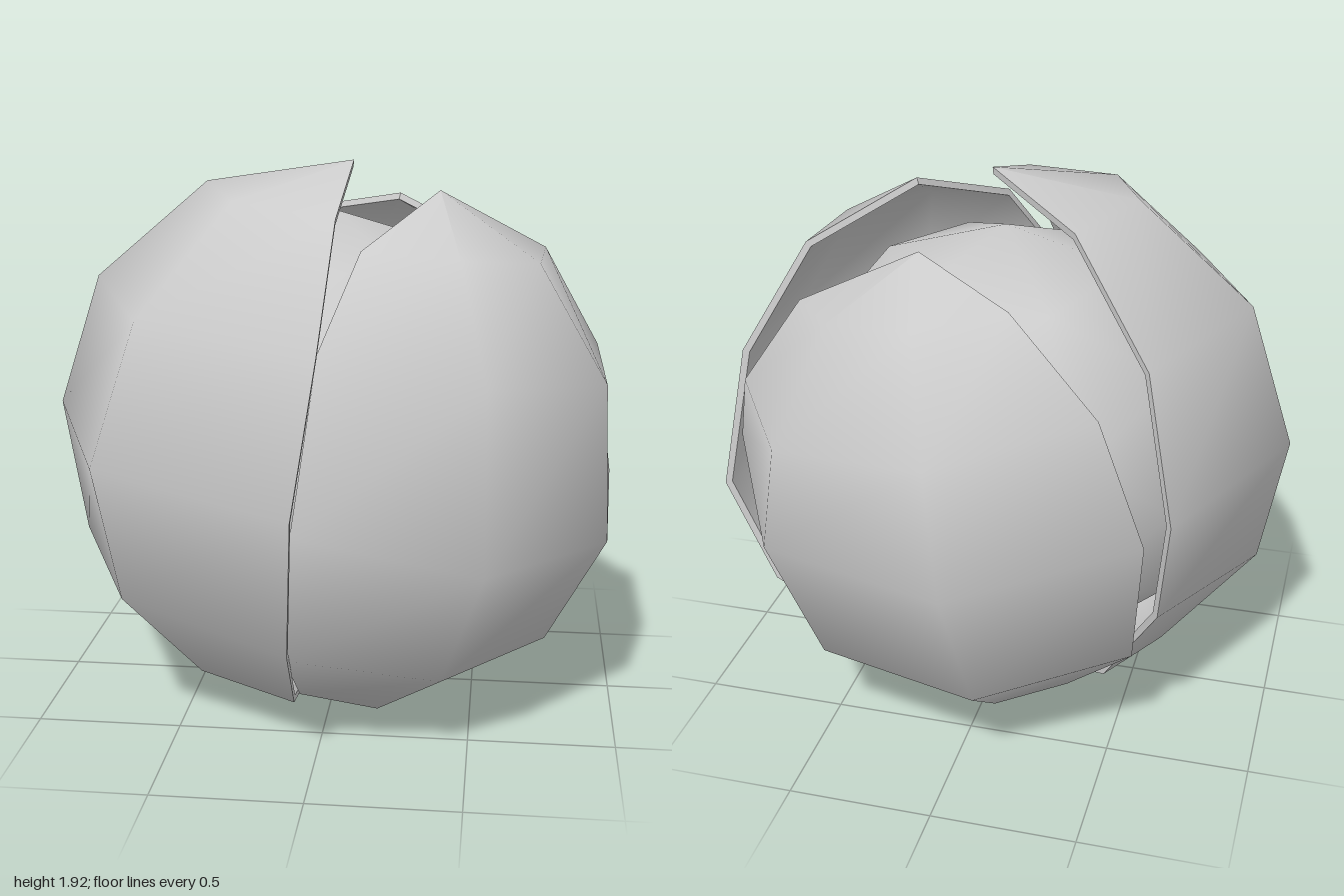
import * as THREE from 'three';

const V = (p) => new THREE.Vector3(...p);
const { lerp, euclideanModulo } = THREE.MathUtils;
const THICK = 0.025;

// Curved shell between two edge lines that meet at a bottom and a top tip.
// A box is bent round the line through the tips; its +z side becomes the outside.
function shellGeometry({ centre, radius, top, bottom, left, right }) {
  const c = V(centre);
  const axis = V(top).sub(V(bottom)).normalize();
  const upright = new THREE.Quaternion().setFromUnitVectors(axis, V([0, 1, 0]));
  const tilted = upright.clone().invert();
  const edge = (mid) => [top, ...mid, bottom].reverse().map((p) =>
    new THREE.Spherical().setFromVector3(V(p).sub(c).applyQuaternion(upright)));
  const L = edge(left), R = edge(right), rows = L.length - 1;

  const geo = new THREE.BoxGeometry(1, 1, 1, 3, rows, 1);
  const pos = geo.attributes.position;
  for (let i = 0; i < pos.count; i++) {
    const u = pos.getX(i) + 0.5;
    const row = Math.round((pos.getY(i) + 0.5) * rows);
    const a = L[row], b = R[row];
    // edge points keep their own distance, the inside lies on the sphere
    const inside = u > 0.01 && u < 0.99 && row > 0 && row < rows;
    let r = inside ? radius : lerp(a.radius, b.radius, u);
    if (pos.getZ(i) < 0) r -= THICK;
    const turn = euclideanModulo(b.theta - a.theta, 2 * Math.PI);
    const p = new THREE.Vector3()
      .setFromSphericalCoords(r, lerp(a.phi, b.phi, u), a.theta + turn * u)
      .applyQuaternion(tilted).add(c);
    pos.setXYZ(i, p.x, p.y, p.z);
  }
  geo.computeVertexNormals();
  return geo;
}

// Each shell: tips, and edge points listed from top to bottom as seen from outside
const shells = {
  rightShell: {
    centre: [-0.04, 0.96, 0.01], radius: 0.975,
    top: [0.06, 1.92, 0.05], bottom: [-0.1, 0, -0.03],
    left: [[-0.3, 1.83, -0.28], [-0.6, 1.5, -0.55], [-0.71, 1.03, -0.67], [-0.66, 0.6, -0.53], [-0.45, 0.2, -0.34]],
    right: [[0.05, 1.78, 0.54], [0.03, 1.41, 0.89], [-0.04, 0.92, 0.99], [-0.07, 0.43, 0.86], [-0.1, 0.1, 0.48]],
  },
  frontLeftShell: {
    centre: [0.07, 0.94, 0.04], radius: 0.97,
    top: [0.36, 1.83, 0.14], bottom: [-0.02, 0.03, -0.11],
    left: [[0.13, 1.68, 0.54], [0.02, 1.4, 0.78], [-0.05, 0.85, 0.92], [-0.09, 0.38, 0.77], [-0.09, 0.1, 0.41]],
    right: [[0.72, 1.62, -0.03], [0.92, 1.25, -0.19], [0.99, 0.75, -0.28], [0.82, 0.36, -0.27], [0.37, 0.05, -0.19]],
  },
  backShell: {
    centre: [0.02, 0.94, -0.05], radius: 0.965,
    top: [0.19, 1.76, -0.38], bottom: [-0.02, 0.06, -0.1],
    left: [[0.61, 1.55, -0.38], [0.86, 1.2, -0.32], [0.94, 0.92, -0.21], [0.84, 0.45, -0.18], [0.42, 0.12, -0.14]],
    right: [[-0.17, 1.68, -0.61], [-0.48, 1.4, -0.72], [-0.63, 0.95, -0.68], [-0.58, 0.43, -0.53], [-0.31, 0.11, -0.31]],
  },
};

export function createModel() {
  const group = new THREE.Group();
  const material = new THREE.MeshStandardMaterial({ color: 0xcccccc, side: THREE.DoubleSide });

  // Three overlapping outer shells
  for (const [name, spec] of Object.entries(shells)) {
    const mesh = new THREE.Mesh(shellGeometry(spec), material);
    mesh.name = name;
    group.add(mesh);
  }

  // Rounded low-poly core showing through the gaps
  const core = new THREE.Mesh(new THREE.IcosahedronGeometry(0.8, 1), material);
  core.name = 'core';
  core.position.y = 0.94;
  group.add(core);

  return group;
}
